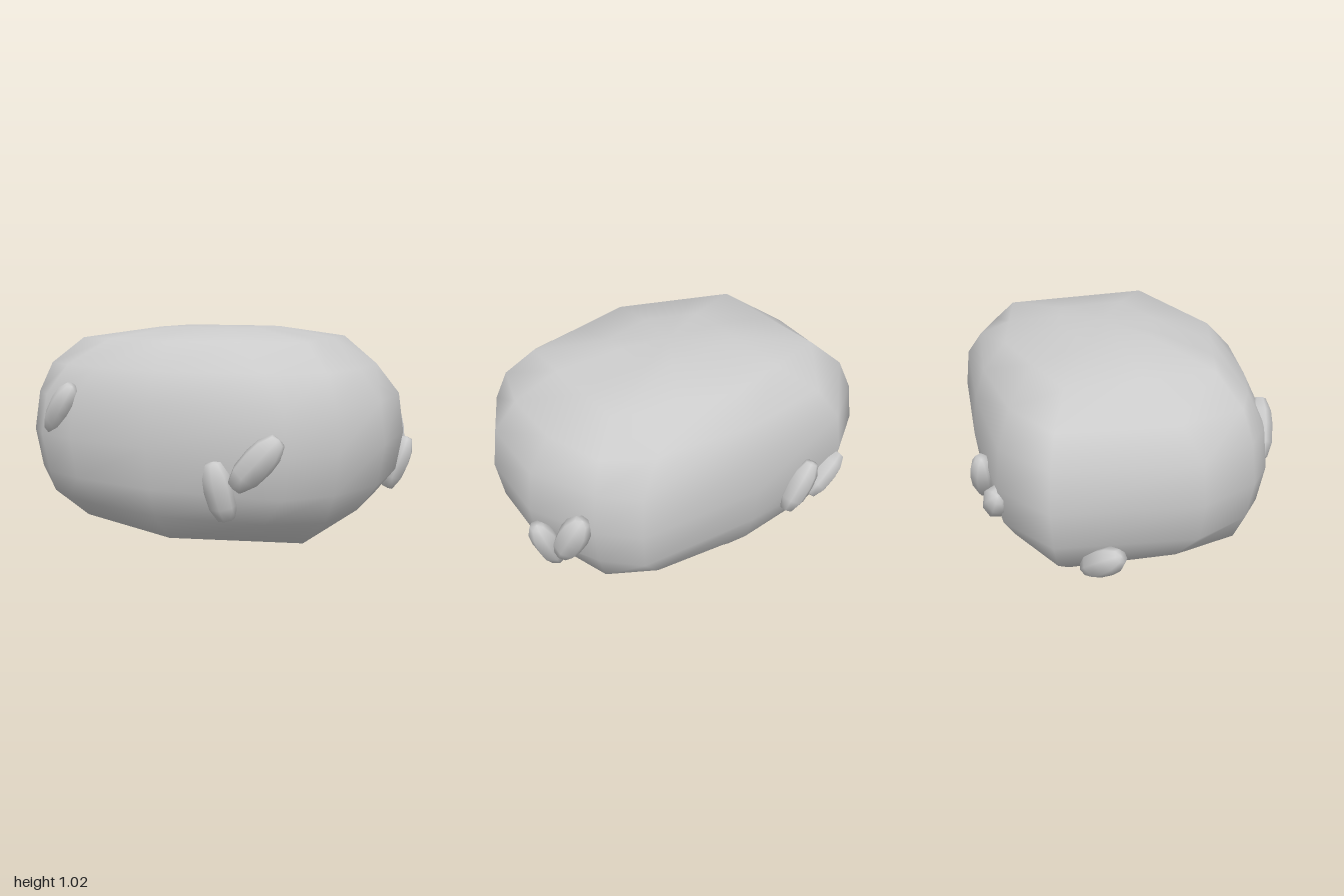
import * as THREE from 'three';

const material = new THREE.MeshStandardMaterial({ color: 0xcccccc });

// Plan outline of the boulder (x, z) at its widest
const outline = [
  [-0.46, -0.9], [-0.13, -0.905], [0.36, -0.61], [0.87, -0.22], [0.92, 0], [0.88, 0.36],
  [0.64, 0.7], [0.36, 0.865], [0.1, 0.91], [-0.48, 0.585], [-0.82, 0.26], [-0.96, 0.07],
  [-1, -0.1], [-0.93, -0.4],
];
const count = outline.length;

// The outline cut down to straight facets between six corners, for the base and crown
const corners = [0, 2, 4, 7, 9, 12, count];
const faceted = outline.map((_, i) => {
  const c = corners.findIndex((corner) => corner > i);
  const from = corners[c - 1], to = corners[c];
  const t = (i - from) / (to - from);
  return [0, 1].map((k) => THREE.MathUtils.lerp(outline[from][k], outline[to % count][k], t));
});

// Every ring from base to crown: height, outline scale, how faceted it is
const levels = [
  [0, 0.735, 1], [0.14, 0.905, 0.35], [0.28, 0.965, 0], [0.48, 1, 0],
  [0.68, 0.97, 0], [0.83, 0.9, 0.35], [0.96, 0.735, 1], [1.015, 0.33, 1],
];

function boulderGeometry() {
  const positions = [], index = [];
  for (const [y, scale, facet] of levels) {
    outline.forEach(([x, z], i) => {
      positions.push(
        scale * THREE.MathUtils.lerp(x, faceted[i][0], facet), y,
        scale * THREE.MathUtils.lerp(z, faceted[i][1], facet));
    });
  }
  const bottom = count * levels.length, top = bottom + 1;
  positions.push(0, 0, 0, 0, 1.02, 0);
  const last = count * (levels.length - 1);
  for (let i = 0; i < count; i++) {
    const k = (i + 1) % count;
    for (let j = 0; j < last; j += count) {
      const a = j + i, b = j + k;
      index.push(a, a + count, b, b, a + count, b + count);
    }
    index.push(bottom, i, k, top, last + k, last + i);
  }
  const geometry = new THREE.BufferGeometry();
  geometry.setAttribute('position', new THREE.Float32BufferAttribute(positions, 3));
  geometry.setIndex(index);
  geometry.computeVertexNormals();
  return geometry;
}

// Blunt, elongated pebble of unit half length along y
const pebbleProfile = [[0, -1], [0.55, -0.95], [0.92, -0.5], [1, 0.1], [0.9, 0.55], [0.5, 0.96], [0, 1]]
  .map(([r, y]) => new THREE.Vector2(r, y));
const pebbleGeometry = new THREE.LatheGeometry(pebbleProfile, 7);

// Pebbles: centre, half axis (lying along the surface), outward direction
const pebbles = [
  ['sidePebble', [-0.86, 0.62, 0.16], [0.06, 0.115, 0.08], [-0.8, 0.3, 0.5]],
  ['frontLowerPebble', [-0.16, 0.3, 0.735], [-0.035, 0.14, 0.01], [-0.49, -0.15, 0.87]],
  ['frontUpperPebble', [-0.02, 0.445, 0.855], [0.09, 0.115, 0.05], [-0.45, 0, 0.89]],
  ['flankLowerPebble', [0.885, 0.3, 0.28], [0.045, 0.14, 0.02], [0.95, -0.25, 0.15]],
  ['flankUpperPebble', [0.935, 0.43, 0.11], [0.01, 0.135, -0.07], [1, -0.05, 0.05]],
  ['backUpperPebble', [0.13, 0.39, -0.765], [-0.05, 0.13, -0.045], [0.5, 0, -0.86]],
  ['backLowerPebble', [-0.055, 0.36, -0.855], [-0.085, 0.09, -0.055], [0.35, 0, -0.9]],
  ['cornerPebble', [-0.6, 0.19, -0.71], [-0.1, 0.08, 0.01], [-0.5, -0.4, -0.8]],
];

function makePebble([name, centre, halfAxis, outward]) {
  const axis = new THREE.Vector3(...halfAxis);
  const length = axis.length();
  axis.normalize();
  const side = new THREE.Vector3().crossVectors(axis, new THREE.Vector3(...outward)).normalize();
  const normal = new THREE.Vector3().crossVectors(side, axis);
  const mesh = new THREE.Mesh(pebbleGeometry, material);
  mesh.name = name;
  mesh.quaternion.setFromRotationMatrix(new THREE.Matrix4().makeBasis(side, axis, normal));
  mesh.position.set(...centre);
  mesh.scale.set(0.076, length, 0.062);
  return mesh;
}

export function createModel() {
  const group = new THREE.Group();
  group.name = 'boulderWithPebbles';
  const boulder = new THREE.Mesh(boulderGeometry(), material);
  boulder.name = 'boulder';
  group.add(boulder, ...pebbles.map(makePebble));
  return group;
}
